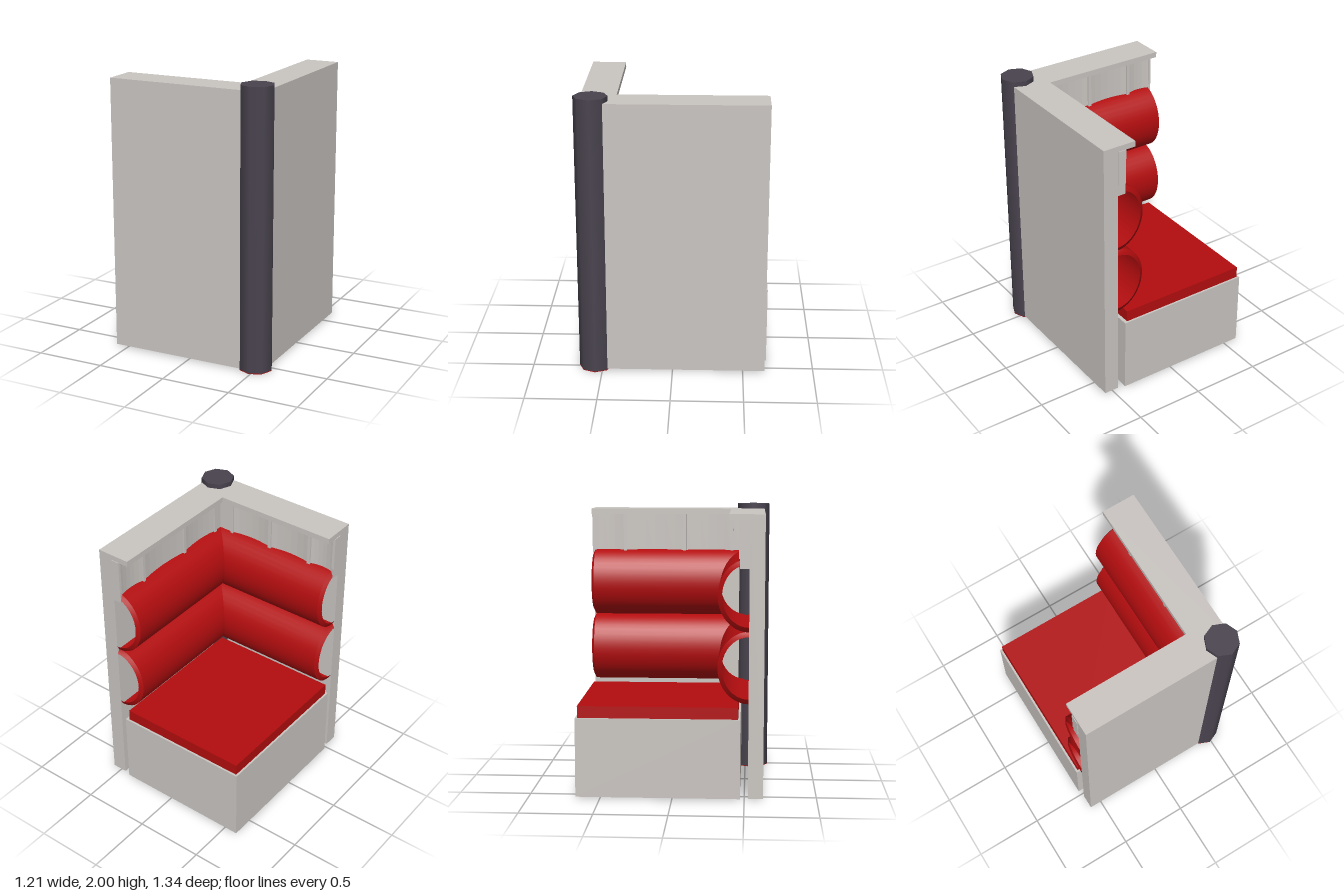
import * as THREE from 'three';

const grey = new THREE.MeshStandardMaterial({ color: 0xcac5c1 });
grey.name = 'warm grey';
const red = new THREE.MeshStandardMaterial({ color: 0xb30d0f, side: THREE.DoubleSide });
red.name = 'red upholstery';
const dark = new THREE.MeshStandardMaterial({ color: 0x49434e });
dark.name = 'dark post';

const END_X = -0.59, END_Z = -0.655;   // free ends of the two walls
const WALL_X = 0.455, WALL_Z = 0.525;  // inner wall faces

function add(group, name, geometry, material) {
  const mesh = new THREE.Mesh(geometry, material);
  mesh.name = name;
  group.add(mesh);
  return mesh;
}

// Box given by its minimum and maximum corners
function box(x0, y0, z0, x1, y1, z1) {
  return new THREE.BoxGeometry(x1 - x0, y1 - y0, z1 - z0)
    .translate((x0 + x1) / 2, (y0 + y1) / 2, (z0 + z1) / 2);
}

// Extrude a plan shape (x, -z) upwards from y0 to y1
function rise(shape, y0, y1) {
  return new THREE.ExtrudeGeometry(shape, { depth: y1 - y0, bevelEnabled: false, curveSegments: 6 })
    .rotateX(-Math.PI / 2).translate(0, y0, 0);
}

// L-shaped plan between inner faces (xi, zi) and outer faces (xo, zo)
function corner(xi, zi, xo, zo) {
  return new THREE.Shape([[END_X, zo], [xo, zo], [xo, END_Z], [xi, END_Z], [xi, zi], [END_X, zi]]
    .map(([x, z]) => new THREE.Vector2(x, -z)));
}

// Open half-round bolster, mitred at the corner, with rolled-in ends
function bolster(yMid) {
  const rings = [[0, 0.86], [0.018, 1], [1, 1], [2, 1], [3, 0.86]];
  const n = 20, pos = [], idx = [];
  rings.forEach(([, s], r) => {
    for (let i = 0; i <= n; i++) {
      const a = -Math.PI / 2 + Math.PI * i / n;
      const c = Math.cos(a) * s;
      const x = WALL_X - 0.21 * c, z = WALL_Z - 0.215 * c;
      const y = yMid + 0.25 * s * Math.sin(a);
      if (r < 2) pos.push(x, y, END_Z + rings[r][0]);
      else if (r === 2) pos.push(x, y, z);
      else pos.push(END_X + (r === 3 ? 0.018 : 0), y, z);
    }
  });
  for (let r = 0; r < rings.length - 1; r++) {
    for (let i = 0; i < n; i++) {
      const a = r * (n + 1) + i, b = a + n + 1;
      idx.push(a, b, a + 1, b, b + 1, a + 1);
    }
  }
  const g = new THREE.BufferGeometry();
  g.setAttribute('position', new THREE.Float32BufferAttribute(pos, 3));
  g.setIndex(idx);
  // keep the mitre and the end roll crisp along the length
  const out = g.toNonIndexed();
  const p = out.attributes.position, nor = [];
  for (let i = 0; i < p.count; i++) {
    const quad = Math.floor(i / 6), strip = Math.floor(quad / n);
    const a = Math.asin(THREE.MathUtils.clamp((p.getY(i) - yMid) / 0.25, -1, 1));
    const v = strip < 2
      ? new THREE.Vector3(-Math.cos(a) / 0.21, Math.sin(a) / 0.25, strip === 0 ? -5 : 0)
      : new THREE.Vector3(strip === 3 ? -5 : 0, Math.sin(a) / 0.25, -Math.cos(a) / 0.215);
    nor.push(...v.normalize().toArray());
  }
  out.setAttribute('normal', new THREE.Float32BufferAttribute(nor, 3));
  return out;
}

export function createModel() {
  const model = new THREE.Group();
  model.name = 'cornerBooth';

  // Two walls meeting at the corner, with an overhanging top ledge
  add(model, 'walls', rise(corner(WALL_X, WALL_Z, 0.565, 0.63), 0.01, 1.93), grey);
  add(model, 'topLedge', rise(corner(0.32, 0.385, 0.565, 0.63), 1.925, 1.965), grey);

  // Upper lining with shallow hollows between the battens
  const fx = 0.395, fz = 0.46;
  const alongX = [-0.387, -0.05, 0.286], alongZ = [0.39, 0.035, -0.41];
  const lining = new THREE.Shape();
  lining.moveTo(END_X, -WALL_Z);
  lining.lineTo(WALL_X, -WALL_Z);
  lining.lineTo(WALL_X, -END_Z);
  lining.lineTo(fx, -END_Z);
  let from = END_Z;
  for (const z of [...alongZ].reverse()) {
    lining.quadraticCurveTo(fx + 0.03, -(from + z) / 2, fx, -z);
    from = z;
  }
  lining.lineTo(fx, -fz);
  from = fx;
  for (const x of [...alongX].reverse().concat(END_X)) {
    if (from === fx) lining.lineTo(x, -fz);
    else lining.quadraticCurveTo((from + x) / 2, -(fz + 0.03), x, -fz);
    from = x;
  }
  add(model, 'upperLining', rise(lining, 1.6, 1.926), grey);
  for (const x of alongX) {
    add(model, 'batten', box(x - 0.012, 1.6, fz - 0.01, x + 0.012, 1.926, fz + 0.03), grey);
  }
  for (const z of alongZ) {
    add(model, 'batten', box(fx - 0.01, 1.6, z - 0.012, fx + 0.03, 1.926, z + 0.012), grey);
  }
  // Trim at the lining's free ends
  add(model, 'liningEnd', box(END_X - 0.005, 1.68, fz, END_X + 0.015, 1.926, WALL_Z), grey);
  add(model, 'liningEnd', box(fx, 1.68, END_Z - 0.005, WALL_X, 1.926, END_Z + 0.015), grey);

  // Padded backrest
  add(model, 'lowerBolster', bolster(0.92), red);
  add(model, 'upperBolster', bolster(1.415), red);

  // Seat
  add(model, 'seatBase', box(-0.605, 0.01, -0.67, 0.405, 0.565, 0.47), grey);
  add(model, 'seatCushion', box(-0.59, 0.56, -0.655, 0.38, 0.648, 0.455), red);

  // Eight-sided corner post with a red foot
  const post = add(model, 'cornerPost', new THREE.CylinderGeometry(0.118, 0.118, 1.995, 8), dark);
  post.position.set(0.488, 1.0025, 0.55);
  const foot = add(model, 'postFoot', new THREE.CylinderGeometry(0.118, 0.118, 0.005, 8), red);
  foot.position.set(0.488, 0.0025, 0.55);

  return model;
}
